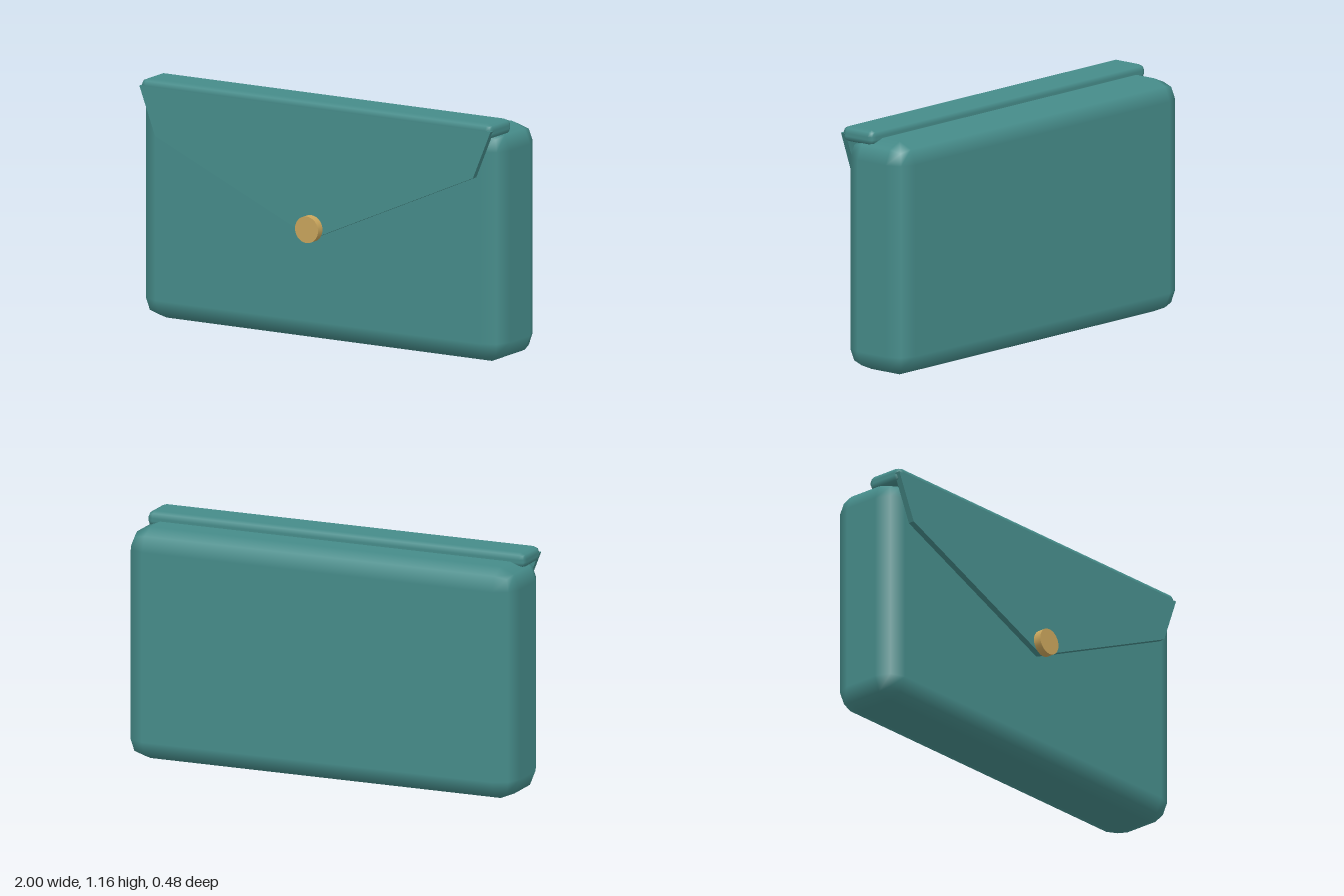
import * as THREE from 'three';
import { RoundedBoxGeometry } from 'three/addons/geometries/RoundedBoxGeometry.js';

export function createModel() {
  const group = new THREE.Group();
  const leather = new THREE.MeshStandardMaterial({ name: 'teal leather', color: 0x468c8a });
  const brass = new THREE.MeshStandardMaterial({ name: 'brass', color: 0xc9a55c });

  const add = (name, geometry, material, x, y, z) => {
    const mesh = new THREE.Mesh(geometry, material);
    mesh.name = name;
    mesh.position.set(x, y, z);
    group.add(mesh);
    return mesh;
  };

  // Bag body with two-facet rounded edges
  add('body', new RoundedBoxGeometry(2, 1.12, 0.376, 1, 0.1), leather, 0, 0.56, -0.05);

  // Folded ridge that carries the flap over the top
  add('flapFold', new RoundedBoxGeometry(1.945, 0.074, 0.196, 1, 0.03), leather, 0, 1.124, 0.068);

  // Pointed envelope flap, hinged at its top edge and tilted slightly outwards
  const outline = new THREE.Shape([
    [-0.972, 0], [-0.88, -0.23], [0, -0.62], [0.88, -0.23], [0.972, 0],
  ].map(([x, y]) => new THREE.Vector2(x, y)));
  const flapGeometry = new THREE.ExtrudeGeometry(outline, { depth: 0.03, bevelEnabled: false });
  const flap = add('flap', flapGeometry, leather, 0, 1.128, 0.136);
  flap.rotation.x = -0.036;

  // Round clasp
  const claspGeometry = new THREE.CylinderGeometry(0.064, 0.064, 0.04, 24);
  claspGeometry.rotateX(Math.PI / 2);
  add('clasp', claspGeometry, brass, 0, 0.562, 0.22);

  return group;
}
